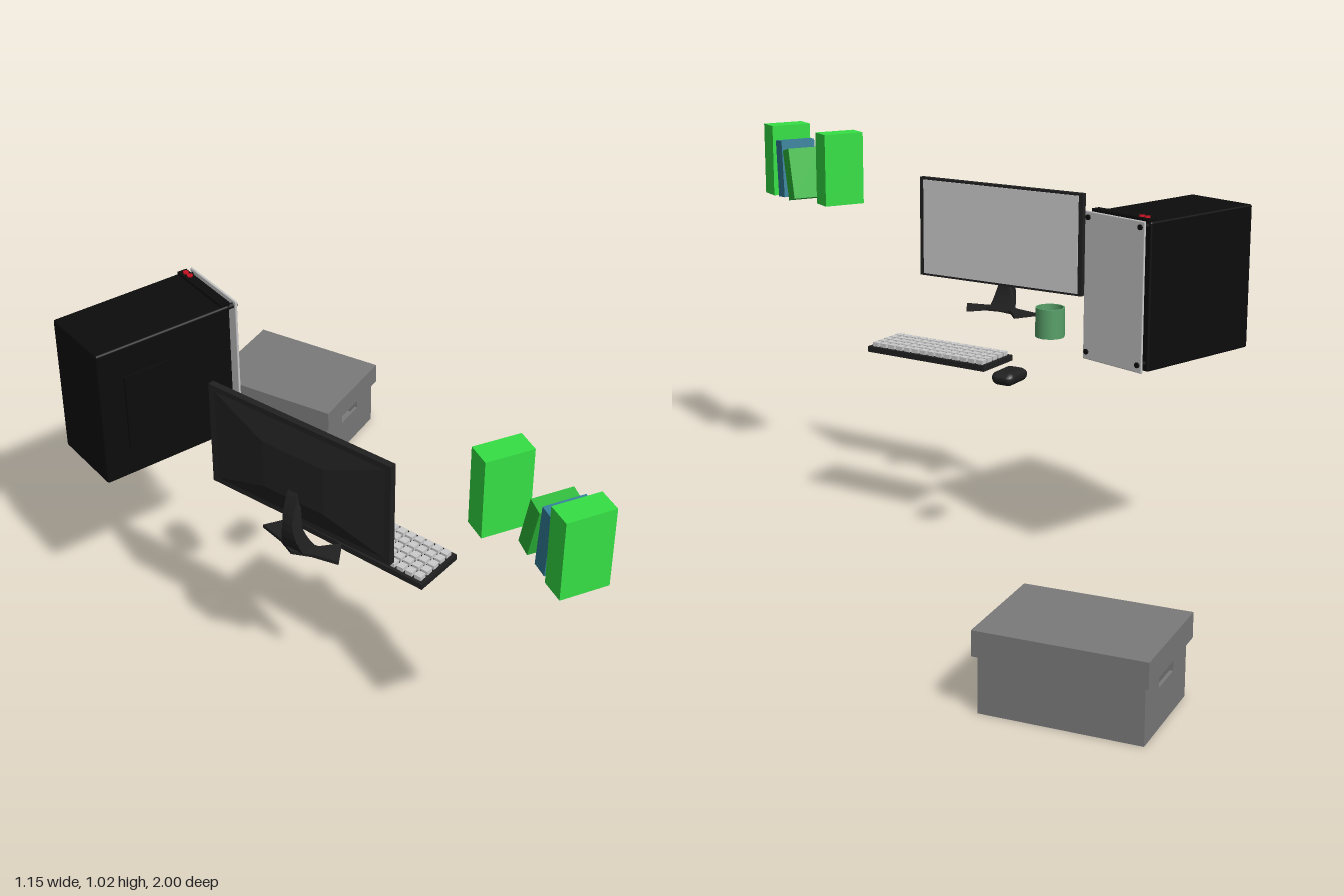
import * as THREE from 'three';
import { RoundedBoxGeometry } from 'three/addons/geometries/RoundedBoxGeometry.js';

const mat = (color, side = THREE.FrontSide) => new THREE.MeshStandardMaterial({ color, side });
const grey = mat(0xcccccc), black = mat(0x0c0c0c), dark = mat(0x202020);
const boxGrey = mat(0x7a7a7a), green = mat(0x35e045), darkGreen = mat(0x2cb838);
const blue = mat(0x34809a), cupGreen = mat(0x58a068, THREE.DoubleSide), red = mat(0xcc1122);

function add(parent, name, geometry, material, x = 0, y = 0, z = 0) {
  const mesh = new THREE.Mesh(geometry, material);
  mesh.name = name;
  mesh.position.set(x, y, z);
  parent.add(mesh);
  return mesh;
}
const box = (parent, name, material, w, h, d, x, y, z) =>
  add(parent, name, new THREE.BoxGeometry(w, h, d), material, x, y, z);

function group(parent, name, x, y, z, turn = 0) {
  const g = new THREE.Group();
  g.name = name;
  g.position.set(x, y, z);
  g.rotation.y = turn;
  parent.add(g);
  return g;
}

// Hollow carton with cut-out handles in the short walls
function storageBox(root) {
  const g = group(root, 'storageBox', 0.362, 0, -0.765, 0.418);
  const w = 0.262, d = 0.371, h = 0.14, t = 0.008;
  box(g, 'boxFloor', boxGrey, w, t, d, 0, t / 2, 0);
  for (const s of [-1, 1]) {
    box(g, 'boxLongWall', boxGrey, t, h, d, s * (w - t) / 2, h / 2, 0);
    const wall = new THREE.Shape([[-w / 2, 0], [w / 2, 0], [w / 2, h], [-w / 2, h]]
      .map(p => new THREE.Vector2(...p)));
    wall.holes.push(new THREE.Path([[-0.046, 0.094], [-0.046, 0.121], [0.046, 0.121], [0.046, 0.094]]
      .map(p => new THREE.Vector2(...p))));
    add(g, 'boxHandleWall', new THREE.ExtrudeGeometry(wall, { depth: t, bevelEnabled: false }),
      boxGrey, 0, 0, s > 0 ? d / 2 - t : -d / 2);
  }
  box(g, 'boxLid', boxGrey, 0.285, 0.059, 0.392, 0, 0.1625, 0);
}

// Computer case with a grey front plate on four standoffs
function tower(root) {
  const g = group(root, 'computerTower', -0.39, 0.74, -0.3);
  add(g, 'towerCase', new RoundedBoxGeometry(0.365, 0.365, 0.198, 2, 0.005), black, -0.003, -0.002, 0);
  box(g, 'towerTopLip', black, 0.025, 0.01, 0.19, 0.17, 0.183, 0);
  box(g, 'towerSideVent', black, 0.12, 0.2, 0.008, -0.06, 0, 0.102);
  add(g, 'towerFrontPlate', new RoundedBoxGeometry(0.006, 0.37, 0.198, 2, 0.003), grey, 0.199, 0, 0);
  for (const y of [-0.165, 0.17]) for (const z of [-0.086, 0.086]) {
    const peg = add(g, 'frontPlatePeg', new THREE.CylinderGeometry(0.007, 0.007, 0.03, 12), black, 0.191, y, z);
    peg.rotation.z = Math.PI / 2;
  }
  for (const z of [-0.078, -0.06])
    add(g, 'powerButton', new THREE.CylinderGeometry(0.007, 0.007, 0.006, 12), red, 0.171, 0.189, z);
}

// Screen facing +x, with bulged back, curved neck and V-shaped foot
function monitor(root) {
  const g = group(root, 'monitor', -0.343, 0, 0.27, 0.278);
  box(g, 'monitorFrame', dark, 0.016, 0.272, 0.508, 0, 0.775, 0);
  box(g, 'screen', grey, 0.003, 0.26, 0.484, 0.0085, 0.775, 0);
  const back = new THREE.BoxGeometry(0.02, 0.25, 0.49);
  const p = back.attributes.position;
  for (let i = 0; i < p.count; i++)
    if (p.getX(i) < 0) { p.setY(i, p.getY(i) * 0.5); p.setZ(i, p.getZ(i) * 0.35); }
  back.computeVertexNormals();
  add(g, 'monitorBack', back, dark, -0.017, 0.775, 0);

  // neck: side outline given a width along z that flares toward the foot
  const side = new THREE.Shape();
  side.moveTo(-0.02, 0.75);
  side.quadraticCurveTo(-0.075, 0.66, -0.03, 0.57);
  side.lineTo(0.012, 0.57);
  side.quadraticCurveTo(-0.04, 0.65, -0.008, 0.71);
  const neck = new THREE.ExtrudeGeometry(side, { depth: 1, bevelEnabled: false, curveSegments: 8 });
  const n = neck.attributes.position;
  for (let i = 0; i < n.count; i++) {
    const half = 0.014 + 0.016 * Math.max(0, (0.65 - n.getY(i)) / 0.08);
    n.setZ(i, (n.getZ(i) - 0.5) * 2 * half);
  }
  neck.computeVertexNormals();
  add(g, 'monitorNeck', neck, dark);

  const foot = new THREE.Shape([[-0.04, 0], [-0.02, 0.045], [-0.005, 0.11], [0.052, 0.075], [0.012, 0.04],
    [0.005, 0], [0.012, -0.04], [0.052, -0.075], [-0.005, -0.11], [-0.02, -0.045]]
    .map(q => new THREE.Vector2(...q)));
  const footGeo = new THREE.ExtrudeGeometry(foot, { depth: 0.009, bevelEnabled: false });
  footGeo.rotateX(-Math.PI / 2);
  add(g, 'monitorFoot', footGeo, dark, 0, 0.565, 0);
}

function keyboard(root) {
  const g = group(root, 'keyboard', -0.135, 0.475, 0.28, 0.258);
  box(g, 'keyboardBase', dark, 0.138, 0.015, 0.37, 0, 0.0075, 0);
  const rows = 14, cols = 5;
  for (let r = 0; r < rows; r++) for (let c = 0; c < cols; c++)
    box(g, 'key', grey, 0.019, 0.012, 0.019,
      (c - (cols - 1) / 2) * 0.0255, 0.02, (r - (rows - 1) / 2) * 0.0255);
}

function mouse(root) {
  const g = group(root, 'mouse', -0.105, 0.472, -0.026, 0.3);
  const geo = new RoundedBoxGeometry(0.095, 0.038, 0.062, 5, 0.018);
  const p = geo.attributes.position;
  // lower the top toward both ends
  for (let i = 0; i < p.count; i++)
    if (p.getY(i) > 0) p.setY(i, p.getY(i) * (1 - 0.5 * (p.getX(i) / 0.0475) ** 2));
  geo.computeVertexNormals();
  add(g, 'mouseBody', geo, dark, 0, 0.019, 0);
}

function cup(root) {
  const profile = [[0, 0.563], [0.038, 0.563], [0.038, 0.64], [0.034, 0.64], [0.034, 0.57], [0, 0.57]]
    .map(q => new THREE.Vector2(...q));
  // each band keeps its own normals so the rims stay sharp
  const g = group(root, 'cup', -0.26, 0, -0.01);
  for (let i = 0; i < profile.length - 1; i++)
    add(g, 'cupSurface', new THREE.LatheGeometry(profile.slice(i, i + 2), 24), cupGreen);
}

// Two upright books with two leaning ones between them
function books(root) {
  const g = group(root, 'books', 0, 0, 0);
  const rows = [
    [green, 0.115, 0.197, 0.06, -0.147, 0.9235, 0.715, 0],
    [green, 0.115, 0.197, 0.06, -0.147, 0.9235, 0.957, 0],
    [blue, 0.1, 0.158, 0.04, -0.133, 0.905, 0.897, 0.08],
    [darkGreen, 0.1, 0.14, 0.04, -0.119, 0.897, 0.838, 0.26],
  ];
  for (const [m, w, h, d, x, y, z, lean] of rows) {
    const book = box(g, 'book', m, w, h, d, x, y, z);
    book.rotation.set(lean, -0.22, 0, 'YXZ');
  }
}

export function createModel() {
  const root = new THREE.Group();
  root.name = 'deskSet';
  [storageBox, tower, monitor, keyboard, mouse, cup, books].forEach(build => build(root));
  return root;
}
